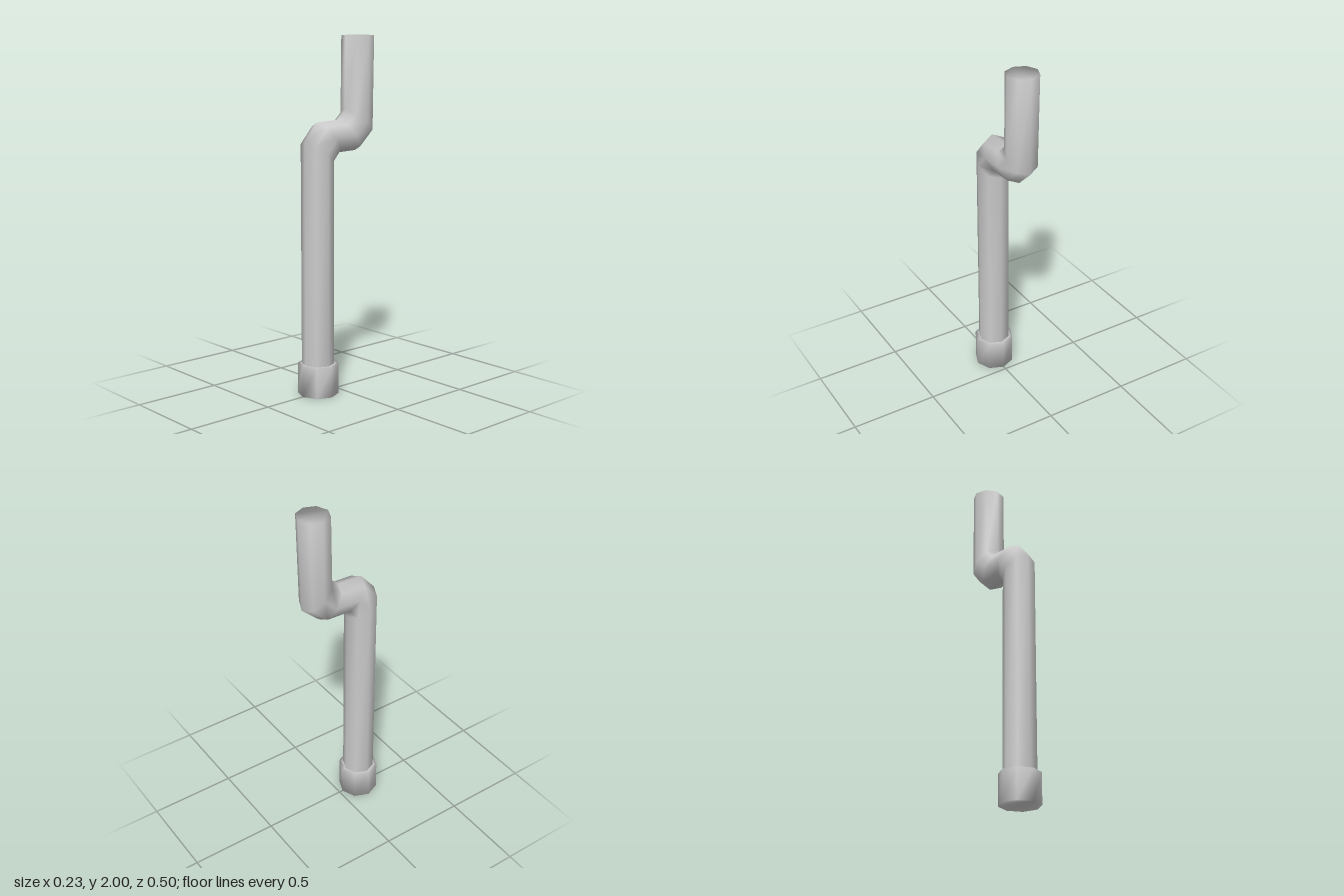
import * as THREE from 'three';

const SIDES = 8;

// Each section is [frontZ, frontY, backZ, backY, halfWidth]: an eight-sided ring
// tilted in the z-y plane. Vertices are shared, so shading runs smooth over the edges.
function loft(name, sections, capBottom, capTop) {
  const pos = [], idx = [];
  for (const [fz, fy, bz, by, w] of sections) {
    for (let j = 0; j < SIDES; j++) {
      const a = (j / SIDES) * Math.PI * 2;
      const t = Math.cos(a) / 2;
      pos.push(w * Math.sin(a), (fy + by) / 2 + (fy - by) * t, (fz + bz) / 2 + (fz - bz) * t);
    }
  }
  for (let i = 0; i < sections.length - 1; i++) {
    for (let j = 0; j < SIDES; j++) {
      const k = (j + 1) % SIDES;
      const a = i * SIDES + j, b = i * SIDES + k;
      idx.push(a, b, b + SIDES, a, b + SIDES, a + SIDES);
    }
  }
  const last = (sections.length - 1) * SIDES;
  for (let j = 1; j < SIDES - 1; j++) {
    if (capBottom) idx.push(0, j + 1, j);
    if (capTop) idx.push(last, last + j, last + j + 1);
  }
  const geo = new THREE.BufferGeometry();
  geo.setAttribute('position', new THREE.Float32BufferAttribute(pos, 3));
  geo.setIndex(idx);
  geo.computeVertexNormals();
  const mesh = new THREE.Mesh(geo, new THREE.MeshStandardMaterial({ color: 0xcccccc }));
  mesh.name = name;
  return mesh;
}

export function createModel() {
  const group = new THREE.Group();
  group.name = 'bentPipe';
  const r = 0.092;

  // Upright tube, double bend towards the back, then the upper end
  group.add(loft('pipe', [
    [0.228, 0.17, 0.046, 0.17, r],
    [0.228, 1.43, 0.048, 1.3, r],
    [0.14, 1.53, 0.0, 1.355, r],
    [-0.01, 1.537, -0.14, 1.36, r],
    [-0.066, 1.59, -0.243, 1.455, r],
    [-0.071, 2, -0.252, 2, r],
  ], false, true));

  // Wider collar at the foot, its top closing in on the pipe
  group.add(loft('footCollar', [
    [0.251, 0, 0.022, 0, 0.115],
    [0.251, 0.175, 0.022, 0.175, 0.115],
    [0.228, 0.175, 0.046, 0.175, r],
  ], true, false));

  return group;
}
